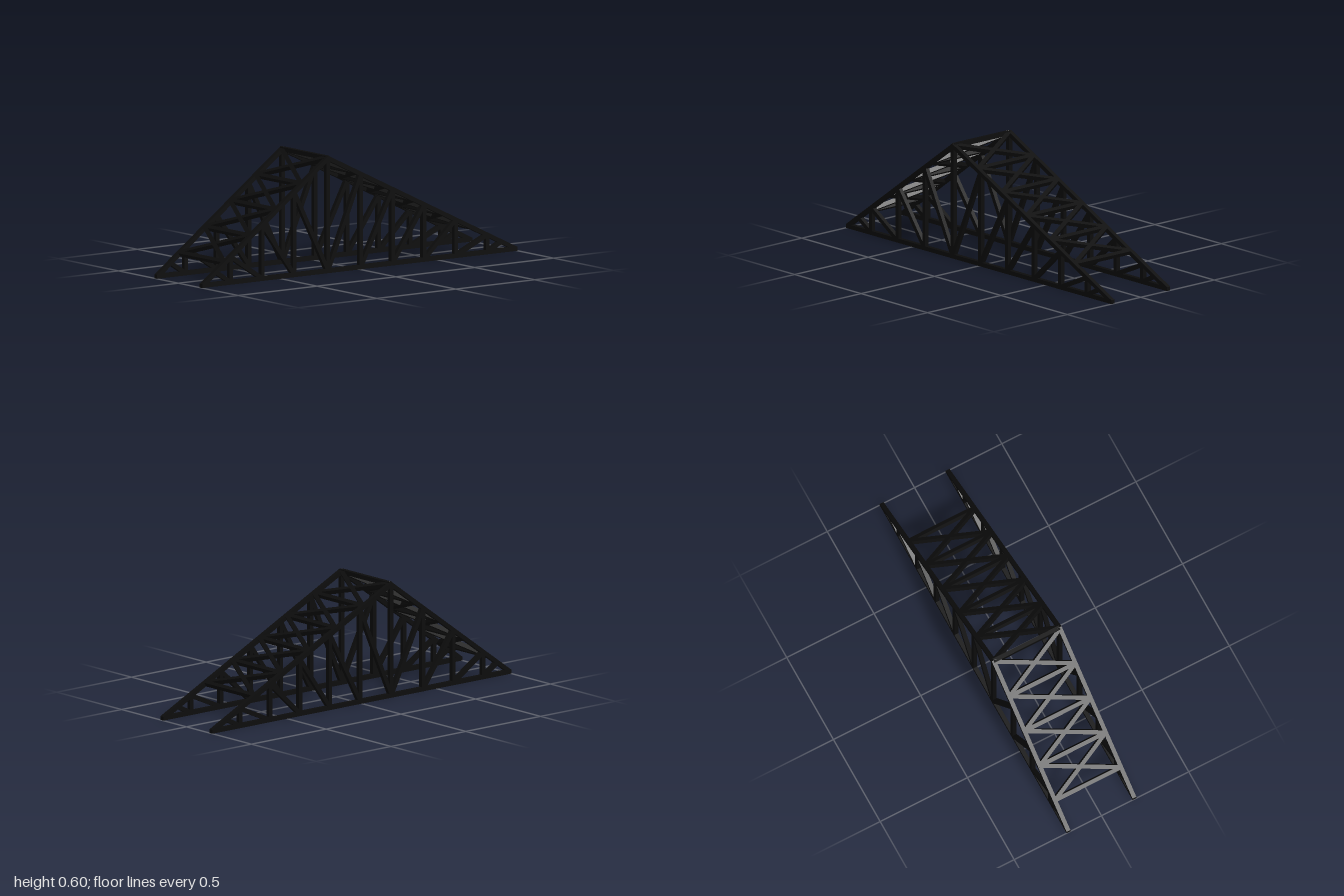
import * as THREE from 'three';

const T = 0.022;   // timber thickness
const X = 0.189;   // centre line of each side truss
const APEX = 0.2;  // z of the ridge
const material = new THREE.MeshStandardMaterial({ color: 0x0c0c0c });

// Height of the rafter centre line at a given z
const rafterY = z => z > APEX
  ? 0.0065 + (1 - z) * 0.725
  : 0.0078 + (1 + z) * 0.4833;

// Square bar between two points; up sets its roll
function beam(name, a, b, up) {
  const mesh = new THREE.Mesh(new THREE.BoxGeometry(T, T, a.distanceTo(b)), material);
  mesh.name = name;
  mesh.position.copy(a).add(b).multiplyScalar(0.5);
  mesh.up.copy(up);
  mesh.lookAt(b);
  return mesh;
}

// Mitred triangle of bottom chord and two rafters
function chordFrame() {
  const points = list => list.map(([z, y]) => new THREE.Vector2(z, y));
  const shape = new THREE.Shape(points([[1, 0], [1, 0.02], [APEX, 0.6], [-1, 0.02], [-1, 0]]));
  shape.holes.push(new THREE.Path(points([[0.96, T], [-0.945, T], [0.198, 0.574]])));
  const geometry = new THREE.ExtrudeGeometry(shape, { depth: T, bevelEnabled: false });
  geometry.translate(0, 0, -T / 2).rotateY(-Math.PI / 2);
  const mesh = new THREE.Mesh(geometry, material);
  mesh.name = 'chordFrame';
  return mesh;
}

function sideTruss(name, x) {
  const truss = new THREE.Group();
  truss.name = name;
  truss.position.x = x;
  truss.add(chordFrame());
  const up = new THREE.Vector3(1, 0, 0);
  const low = z => new THREE.Vector3(0, T / 2, z);
  const high = z => new THREE.Vector3(0, rafterY(z), z);

  // Posts
  const posts = [0.815, 0.615, 0.413, 0.2, -0.008, -0.21, -0.41, -0.61, -0.81];
  for (const z of posts) truss.add(beam('post', low(z), high(z), up));

  // Web diagonals lean outward from the foot of each post
  const feet = [0.91, ...posts, -0.9];
  for (let i = 0; i < feet.length - 1; i++) {
    const [a, b] = [feet[i], feet[i + 1]];
    truss.add(a > APEX + 0.01
      ? beam('webDiagonal', high(a), low(b), up)
      : beam('webDiagonal', low(a), high(b), up));
  }
  return truss;
}

// Cross bars and X braces on one roof slope, from the ridge to endZ
function slopeBracing(name, endZ, panels, normal) {
  const group = new THREE.Group();
  group.name = name;
  const at = (x, i) => {
    const z = APEX + (endZ - APEX) * i / panels;
    return new THREE.Vector3(x, rafterY(z), z);
  };
  for (let i = 1; i <= panels; i++) {
    group.add(beam('crossBar', at(-X, i), at(X, i), normal));
    for (const s of [-1, 1]) {
      group.add(beam('crossBrace', at(s * X, i - 1), at(-s * X, i), normal));
    }
  }
  return group;
}

export function createModel() {
  const model = new THREE.Group();
  model.name = 'roofTruss';
  model.add(sideTruss('leftTruss', X), sideTruss('rightTruss', -X));
  model.add(slopeBracing('frontBracing', 0.85, 4, new THREE.Vector3(0, 1, 0.725).normalize()));
  model.add(slopeBracing('backBracing', -0.71, 5, new THREE.Vector3(0, 1, -0.4833).normalize()));
  // Ridge bar
  model.add(beam('ridgeBar', new THREE.Vector3(-X, 0.588, APEX),
    new THREE.Vector3(X, 0.588, APEX), new THREE.Vector3(0, 1, 0)));
  return model;
}
